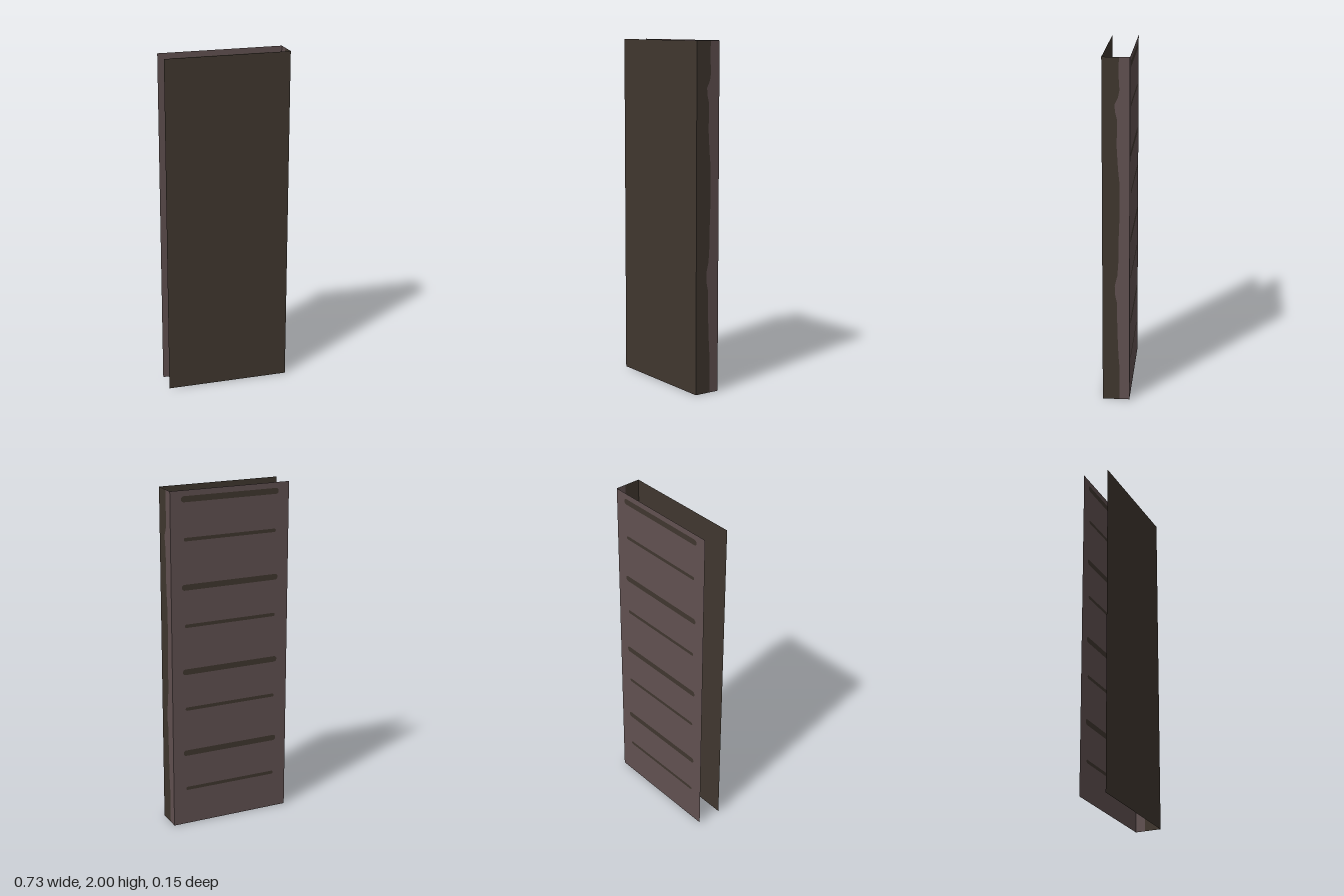
import * as THREE from 'three';

const HX = 0.365, HZ = 0.077, H = 2;

// Rounded slot outline centred on (0, y)
function slot(Path, y, halfLength, r) {
  const p = new Path();
  const c = halfLength - r;
  p.moveTo(-c, y - r);
  p.lineTo(c, y - r);
  p.absarc(c, y, r, -Math.PI / 2, Math.PI / 2, false);
  p.lineTo(-c, y + r);
  p.absarc(-c, y, r, Math.PI / 2, Math.PI * 1.5, false);
  return p;
}

export function createModel() {
  const model = new THREE.Group();
  const dark = new THREE.MeshStandardMaterial({ color: 0x40372f, side: THREE.DoubleSide });
  dark.name = 'darkBrown';
  const mauve = new THREE.MeshStandardMaterial({ color: 0x615151, side: THREE.DoubleSide });
  mauve.name = 'mauveBrown';

  const add = (name, shape, material, position, turn) => {
    const mesh = new THREE.Mesh(new THREE.ShapeGeometry(shape, 6), material);
    mesh.name = name;
    mesh.position.set(...position);
    mesh.rotation.y = turn;
    model.add(mesh);
  };
  const rectangle = (hw) => new THREE.Shape([[-hw, 0], [hw, 0], [hw, H], [-hw, H]]
    .map(([x, y]) => new THREE.Vector2(x, y)));

  // Plain front sheet
  add('frontPanel', rectangle(HX), dark, [0, 0, HZ], 0);

  // Back sheet with alternating wide and narrow inlaid slots
  const back = rectangle(HX);
  for (let i = 0; i < 4; i++) {
    for (const [y, halfLength, r] of [[1.95, 0.3, 0.017], [1.724, 0.285, 0.01]]) {
      back.holes.push(slot(THREE.Path, y - i * 0.5, halfLength, r));
      add('backSlot', slot(THREE.Shape, y - i * 0.5, halfLength, r), dark, [0, 0, -HZ], Math.PI);
    }
  }
  add('backPanel', back, mauve, [0, 0, -HZ], Math.PI);

  // Side sheet, divided by a worn wavy edge (u runs toward the back)
  const edge = [
    [0.02, 0], [0.02, 0.2], [0.014, 0.27], [0.008, 0.42], [0.005, 0.6], [-0.004, 0.64],
    [-0.007, 0.7], [0.008, 0.76], [0.014, 0.85], [0.016, 1], [0.02, 1.1], [0.02, 1.3],
    [0.012, 1.38], [0.005, 1.5], [0.006, 1.66], [-0.004, 1.7], [-0.007, 1.74],
    [0.012, 1.78], [0.02, 1.82], [0.015, 1.9], [0.017, H],
  ].map(([u, y]) => new THREE.Vector2(u, y));
  const sidePart = (u) => new THREE.Shape([
    ...edge, new THREE.Vector2(u, H), new THREE.Vector2(u, 0)]);
  add('sideFrontStrip', sidePart(-HZ), dark, [HX, 0, 0], Math.PI / 2);
  add('sideBackStrip', sidePart(HZ), mauve, [HX, 0, 0], Math.PI / 2);

  return model;
}
